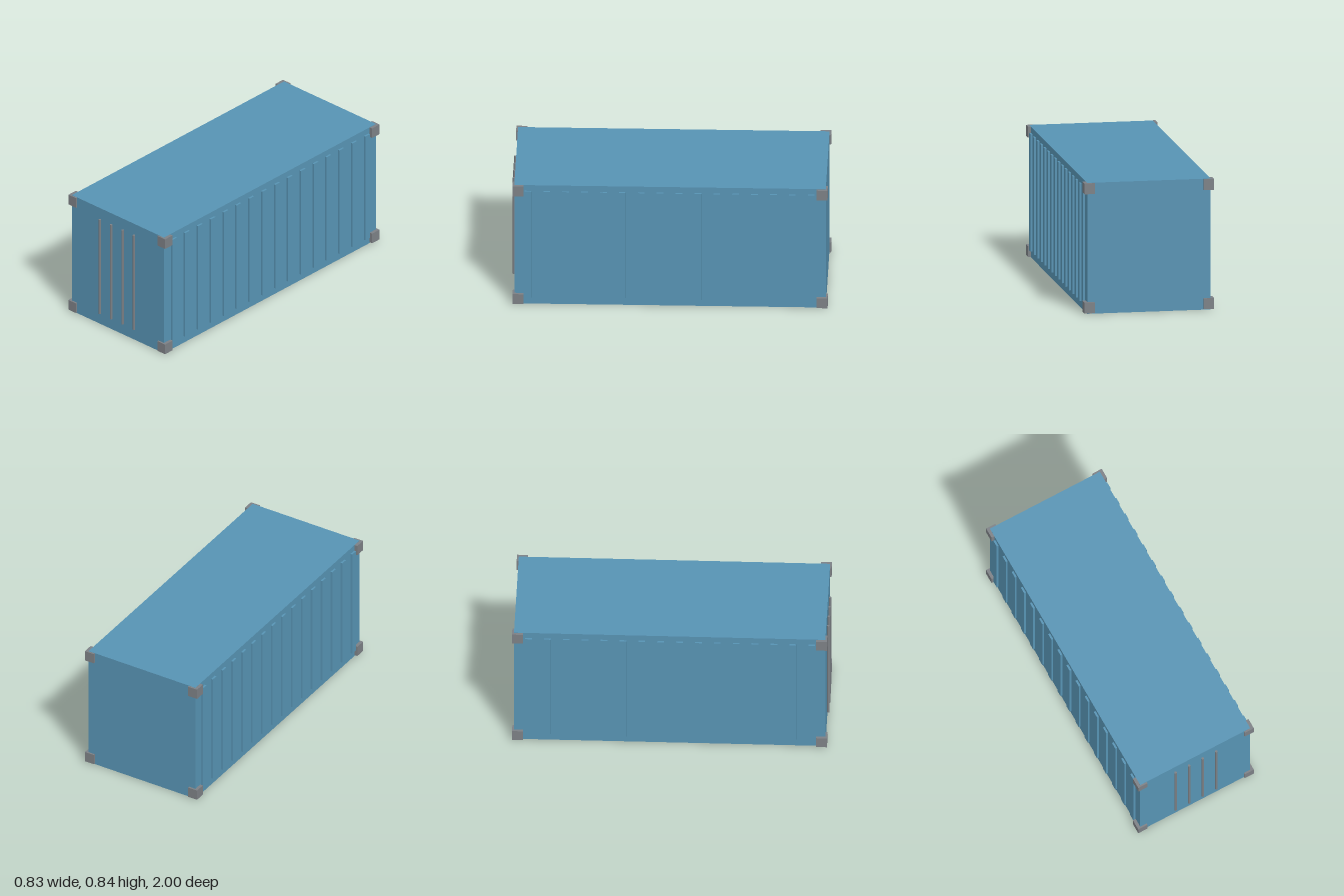
import * as THREE from 'three';

export function createModel() {
  const blue = new THREE.MeshStandardMaterial({ color: 0x5793b3 });
  blue.name = 'blue paint';
  const steel = new THREE.MeshStandardMaterial({ color: 0x7c8085 });
  steel.name = 'grey steel';

  const model = new THREE.Group();
  model.name = 'shippingContainer';

  const add = (name, geometry, material, x, y, z) => {
    const mesh = new THREE.Mesh(geometry, material);
    mesh.name = name;
    mesh.position.set(x, y, z);
    model.add(mesh);
  };

  // Main box
  add('body', new THREE.BoxGeometry(0.794, 0.843, 1.97), blue, 0, 0.4215, -0.003);

  // Raised ribs along both long walls
  const ribCount = 16;
  const rib = new THREE.BoxGeometry(0.03, 0.755, 0.043);
  for (const side of [-1, 1]) {
    for (let i = 0; i < ribCount; i++) {
      const z = THREE.MathUtils.lerp(-0.896, 0.896, i / (ribCount - 1));
      add(side > 0 ? 'leftRib' : 'rightRib', rib, blue, side * 0.395, 0.4255, z);
    }
  }

  // Corner castings
  const casting = new THREE.BoxGeometry(0.066, 0.07, 0.07);
  for (const x of [-0.384, 0.384]) {
    for (const y of [0.04, 0.807]) {
      for (const z of [-0.965, 0.958]) add('cornerCasting', casting, steel, x, y, z);
    }
  }

  // Door locking bars
  const bar = new THREE.CylinderGeometry(0.0082, 0.0082, 0.686, 12);
  for (const x of [-0.147, -0.049, 0.049, 0.147]) add('lockingBar', bar, steel, x, 0.424, 0.9915);

  return model;
}
